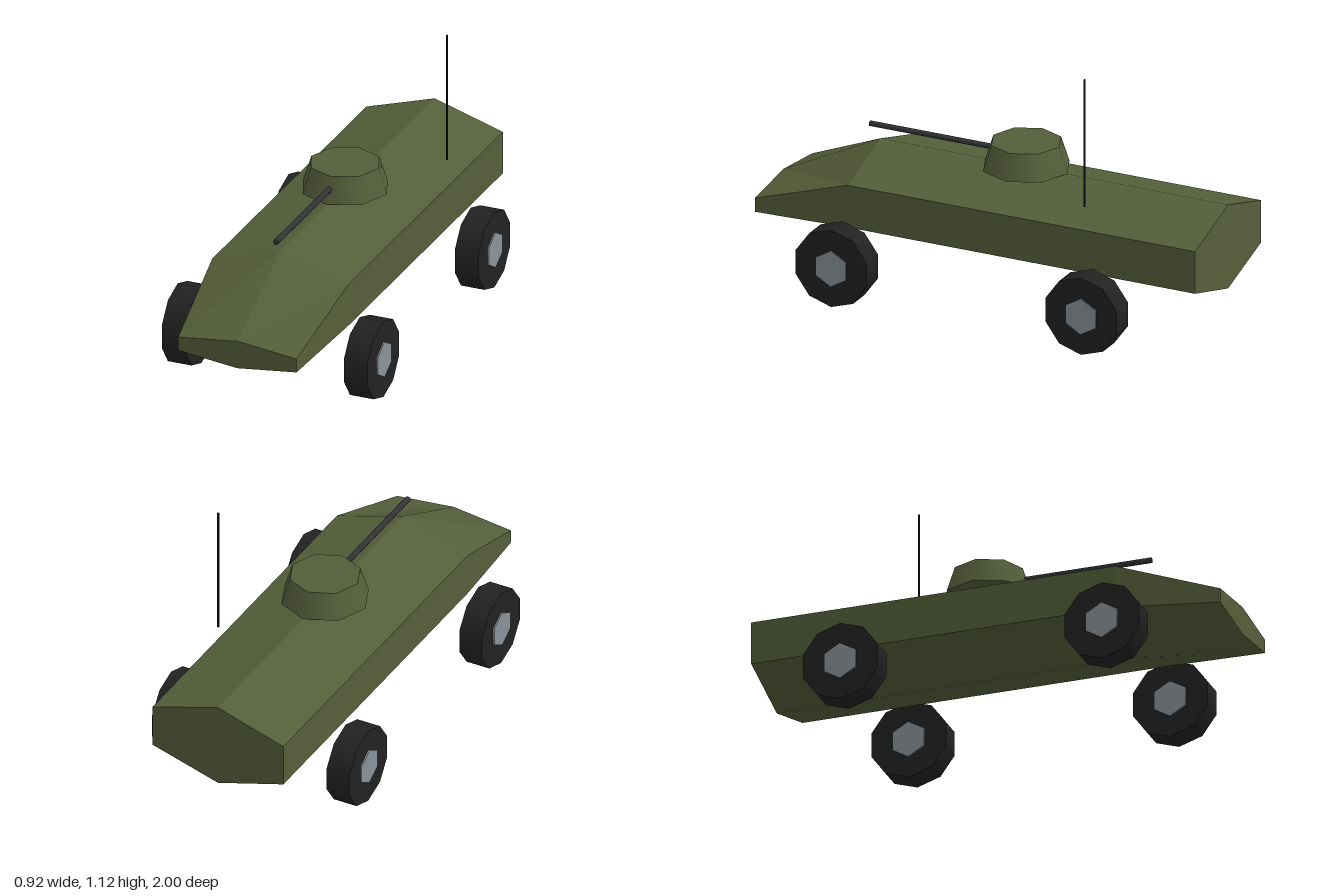
import * as THREE from 'three';

const material = (name, color) => {
  const m = new THREE.MeshStandardMaterial({ color });
  m.name = name;
  return m;
};

// Six-sided cross-section, counterclockwise seen from the front
const section = (z, half, top, upper, lower, bottom) => [
  [0, top, z], [-half, upper, z], [-half, lower, z],
  [0, bottom, z], [half, lower, z], [half, upper, z],
];

// Faceted solid through a row of sections running from back to front
function loft(sections) {
  const pos = [];
  const tri = (a, b, c) => pos.push(...a, ...b, ...c);
  const n = sections[0].length;
  for (let s = 0; s < sections.length - 1; s++) {
    const back = sections[s], front = sections[s + 1];
    for (let i = 0; i < n; i++) {
      const j = (i + 1) % n;
      tri(back[i], back[j], front[j]);
      tri(back[i], front[j], front[i]);
    }
  }
  const first = sections[0], last = sections[sections.length - 1];
  for (let i = 1; i < n - 1; i++) {
    tri(first[0], first[i + 1], first[i]);
    tri(last[0], last[i], last[i + 1]);
  }
  const g = new THREE.BufferGeometry();
  g.setAttribute('position', new THREE.Float32BufferAttribute(pos, 3));
  g.computeVertexNormals();
  return g;
}

export function createModel() {
  const olive = material('olive armour', 0x555f3a);
  const rubber = material('black rubber', 0x222222);
  const steel = material('grey hub', 0x8a9299);
  const gunmetal = material('gunmetal', 0x333338);
  const black = material('antenna black', 0x111111);

  const model = new THREE.Group();
  model.name = 'armouredCar';
  const add = (name, geometry, mat, x = 0, y = 0, z = 0, parent = model) => {
    const mesh = new THREE.Mesh(geometry, mat);
    mesh.name = name;
    mesh.position.set(x, y, z);
    parent.add(mesh);
    return mesh;
  };

  // Hull with a tapered nose
  add('hull', loft([
    section(-1, 0.3, 0.57, 0.477, 0.293, 0.204),
    section(0.562, 0.3, 0.57, 0.477, 0.293, 0.204),
    section(1, 0.26, 0.355, 0.325, 0.265, 0.235),
  ]), olive);

  // Octagonal turret and its gun
  add('turret', new THREE.CylinderGeometry(0.148, 0.184, 0.11, 8), olive, 0, 0.625, -0.092);
  const gunLength = 0.6;
  const gun = new THREE.CylinderGeometry(0.012, 0.012, gunLength, 8).rotateX(Math.PI / 2);
  add('gunBarrel', gun, gunmetal, 0, 0.627, 0.61 - gunLength / 2);

  // Aerial on the left rear
  add('antenna', new THREE.CylinderGeometry(0.0045, 0.0045, 0.555, 6), black, 0.275, 0.8475, -0.49);

  // Wheels: ten-sided tyre with a six-sided hub showing on both faces
  const disc = (r, width, sides) =>
    new THREE.CylinderGeometry(r, r, width, sides, 1, false, Math.PI / 2).rotateZ(Math.PI / 2);
  const tyre = disc(0.168, 0.104, 10);
  const hub = disc(0.078, 0.116, 6);
  for (const [end, z] of [['front', 0.562], ['rear', -0.562]]) {
    for (const [side, x] of [['Left', 0.4], ['Right', -0.4]]) {
      const wheel = new THREE.Group();
      wheel.name = `${end}${side}Wheel`;
      wheel.position.set(x, 0.17, z);
      add('tyre', tyre, rubber, 0, 0, 0, wheel);
      add('hub', hub, steel, 0, 0, 0, wheel);
      model.add(wheel);
    }
  }
  return model;
}
